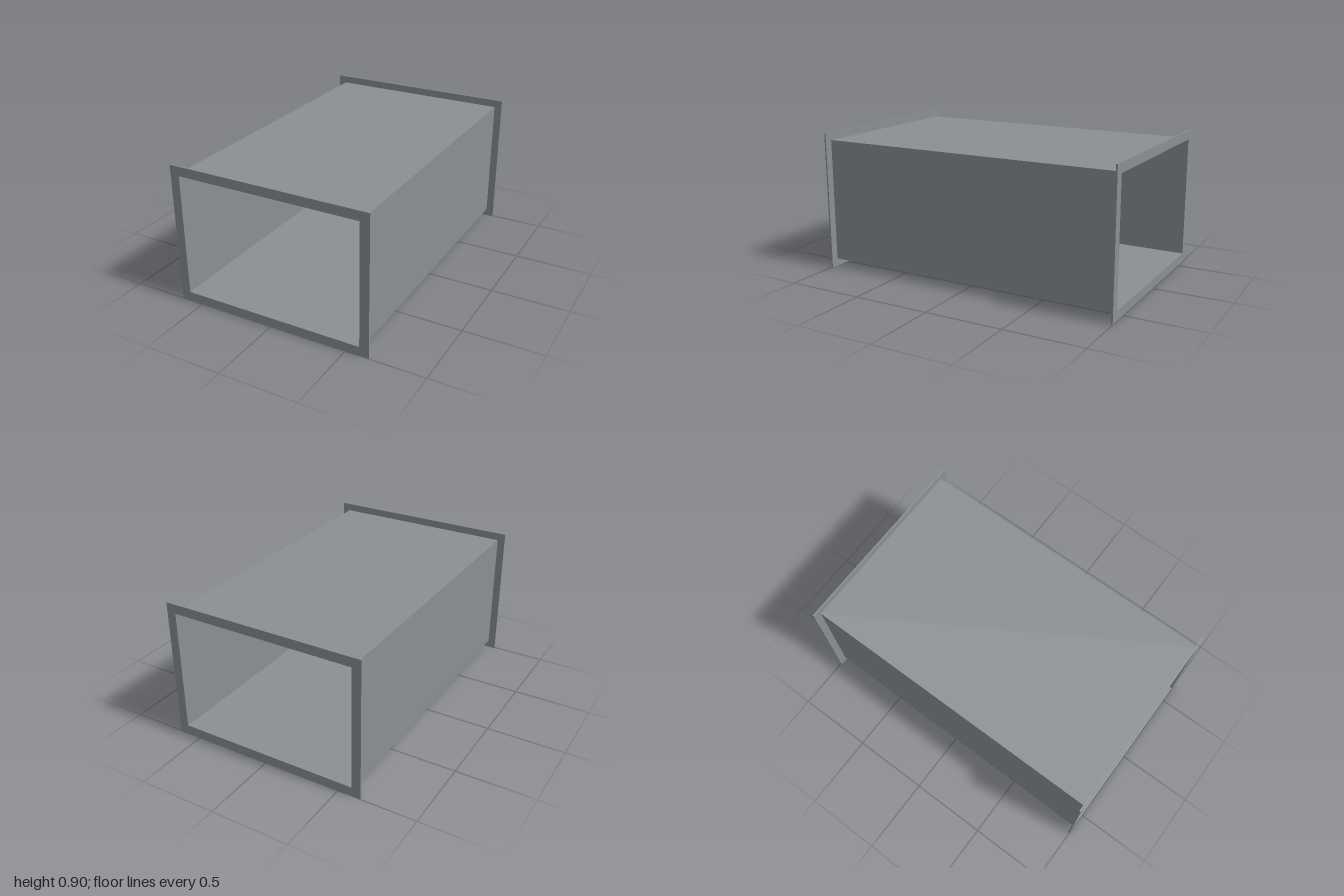
import * as THREE from 'three';

const WIDTH = 1.2, HEIGHT = 0.8, LENGTH = 2, SHEET = 0.01, LIP = 0.05;
const CENTER_Y = HEIGHT / 2 + LIP;

// Rectangular ring of the given outer size, extruded along z and centred on the origin
function ring(width, height, depth) {
  const rect = (target, w, h) => target
    .moveTo(-w / 2, -h / 2).lineTo(w / 2, -h / 2)
    .lineTo(w / 2, h / 2).lineTo(-w / 2, h / 2).closePath();
  const shape = rect(new THREE.Shape(), width, height);
  shape.holes.push(rect(new THREE.Path(), WIDTH - 2 * SHEET, HEIGHT - 2 * SHEET));
  const geometry = new THREE.ExtrudeGeometry(shape, { depth, bevelEnabled: false });
  return geometry.translate(0, 0, -depth / 2);
}

export function createModel() {
  const model = new THREE.Group();
  model.name = 'rectangularDuct';

  const steel = new THREE.MeshStandardMaterial({ color: 0x8b8f94 });
  steel.name = 'galvanisedSteel';

  const addPart = (name, geometry, z) => {
    const mesh = new THREE.Mesh(geometry, steel);
    mesh.name = name;
    mesh.position.set(0, CENTER_Y, z);
    model.add(mesh);
  };

  // Thin-walled open duct between the flanges
  addPart('ductWalls', ring(WIDTH, HEIGHT, LENGTH - 2 * SHEET), 0);

  // Flat flange around each open end
  const flange = ring(WIDTH + 2 * LIP, HEIGHT + 2 * LIP, SHEET);
  addPart('frontFlange', flange, (LENGTH - SHEET) / 2);
  addPart('backFlange', flange, -(LENGTH - SHEET) / 2);

  return model;
}
